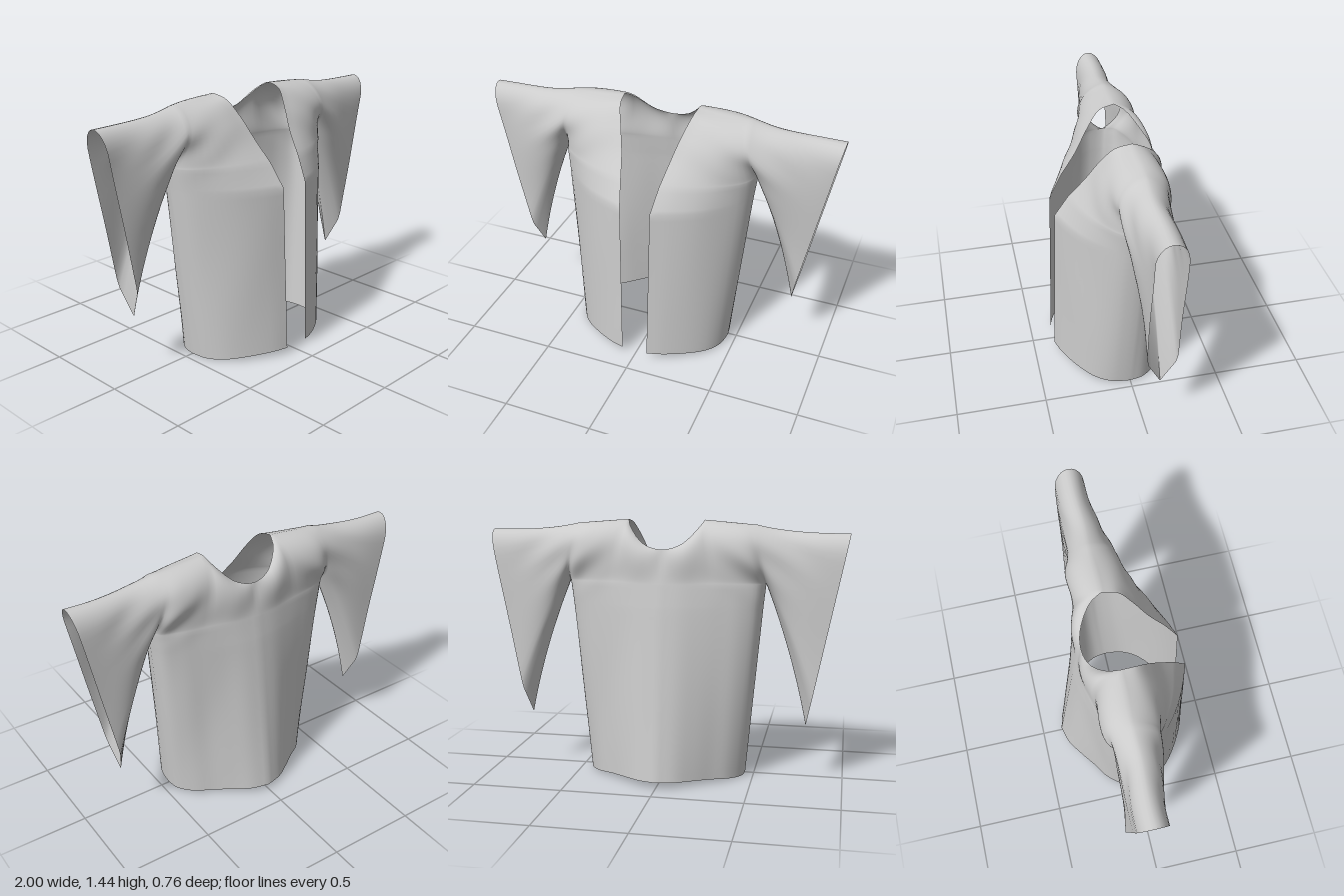
import * as THREE from 'three';
import { mergeGeometries, mergeVertices } from 'three/addons/utils/BufferGeometryUtils.js';

const V = (x, y, z) => new THREE.Vector3(x, y, z);
const lerp = THREE.MathUtils.lerp;
const curve = (pts) => new THREE.CatmullRomCurve3(pts.map((p) => V(...p)));
const FRONT = 14, BACK = 24, UP = 24;
const CHEST = .97, ARMPIT = 1.1;

// Half cross-sections of the body as [x, z]: front edge to side, side to centre back
const sections = [
  { y: 0,
    front: [[.075, .378], [.16, .35], [.285, .283], [.385, .195], [.437, .1], [.45, 0]],
    back: [[.45, 0], [.435, -.08], [.37, -.165], [.28, -.225], [.19, -.295], [.1, -.355], [0, -.382]] },
  { y: CHEST,
    front: [[.085, .345], [.19, .305], [.32, .24], [.43, .15], [.515, .05], [.54, -.04]],
    back: [[.54, -.04], [.512, -.115], [.435, -.16], [.33, -.192], [.22, -.225], [.11, -.252], [0, -.265]] },
  { y: ARMPIT,
    front: [[.108, .27], [.2, .25], [.32, .205], [.43, .14], [.525, .05], [.555, -.05]],
    back: [[.555, -.05], [.525, -.12], [.445, -.158], [.34, -.186], [.22, -.212], [.11, -.234], [0, -.244]] },
].map(({ y, front, back }) => {
  const lift = (x) => (y === 0 ? .035 * (1 - (x / .45) ** 2) : y);
  const make = (pts) => curve(pts.map(([x, z]) => [x, lift(x), z]));
  return { front: make(front), back: make(back) };
});

// Body below the armpits: straight blend between neighbouring sections
const lowerBody = (side) => (s, t) => {
  const split = .8;
  const low = t < split;
  const a = sections[low ? 0 : 1][side].getPoint(s);
  const b = sections[low ? 1 : 2][side].getPoint(s);
  return a.lerp(b, low ? t / split : (t - split) / (1 - split));
};

// Sleeve: u runs from armhole to cuff, k from the top fold to the hanging point
function sleevePoint(u, k, sign) {
  const x = lerp(lerp(.5, 1, u), lerp(.555, .79, u) + .08 * u * (1 - u), k);
  const y = lerp(1.38 + .04 * (1 - u) ** 3, lerp(ARMPIT, .32, u), k);
  const arm = (sign > 0 ? .135 : .118) * Math.max(0, Math.sin(Math.PI * k ** .8)) ** .75;
  const round = k < .12 ? Math.sqrt(1 - (1 - k / .12) ** 2) : 1;
  const cuff = .082 * round * Math.min(1, (1 - k) / .16);
  const blend = sign > 0 ? u ** 1.6 : u ** .8;
  return V(x, y, lerp(-.05, -.06 - .02 * k, u) + sign * lerp(arm, cuff, blend));
}
const topToBottom = (t) => (1 + Math.cos(Math.PI * t)) / 2;

// Neck, shoulder and front edge lines of the upper body
const lapel = curve([[.108, 1.1, .27], [.135, 1.21, .187], [.17, 1.33, .112], [.203, 1.42, .035], [.213, 1.443, -.05]]);
const neck = curve([[.213, 1.443, -.05], [.19, 1.405, -.11], [.115, 1.325, -.175], [.05, 1.297, -.2], [0, 1.29, -.205]]);
const shoulder = (s) => V(.213, 1.443, -.05).lerp(V(.5, 1.42, -.05), s);

// Surface filling four boundary curves; the side curves fade inwards at their own rates
function fill(bottom, top, start, end, startFade, endFade) {
  const [p00, p10, p01, p11] = [bottom(0), bottom(1), top(0), top(1)];
  return (s, t) => bottom(s).lerp(top(s), t)
    .addScaledVector(start(t).sub(p00.clone().lerp(p01, t)), (1 - s) ** startFade)
    .addScaledVector(end(t).sub(p10.clone().lerp(p11, t)), s ** endFade);
}

// Bend a yoke so that it leaves the chest line close to the direction of the body below
const tangentTo = (patch, side) => (s, t) => {
  const p = patch(s, t);
  const rise = patch(s, .02).sub(patch(s, 0)).divideScalar(.02);
  const slope = sections[2][side].getPoint(s).sub(sections[1][side].getPoint(s)).divideScalar(ARMPIT - CHEST);
  const weight = .5 * t * (1 - t) ** 2 * Math.sqrt(Math.max(0, Math.sin(Math.PI * s)));
  p.x += weight * (rise.y * slope.x - rise.x);
  p.z += weight * (rise.y * slope.z - rise.z);
  return p;
};

const upperFront = tangentTo(fill(
  (s) => sections[2].front.getPoint(s), shoulder,
  (t) => lapel.getPoint(t), (t) => sleevePoint(0, topToBottom(t), 1), 1, 1.6), 'front');

const seam = FRONT / BACK;
const backPatch = tangentTo(fill(
  (s) => sections[2].back.getPoint(s),
  (s) => (s <= seam ? shoulder(1 - s / seam) : neck.getPoint((s - seam) / (1 - seam))),
  (t) => sleevePoint(0, topToBottom(t), -1),
  (t) => V(0, lerp(ARMPIT, 1.29, t), lerp(-.244, -.205, t)), 1.6, 1), 'back');
// Rounded over the back of the shoulder
const upperBack = (s, t) => {
  const swell = Math.sin(Math.PI * s) * t * t * (1 - t);
  return backPatch(s, t).add(V(0, .2 * swell, -.25 * swell));
};

// Soft creases, strongest around the armpits
function crease(p) {
  const near = Math.exp(-(((p.x - .56) / .2) ** 2) - ((p.y - 1.22) / .13) ** 2);
  p.z += .008 * near * Math.sin(26 * p.x + 30 * p.y);
  p.z += .003 * Math.sin(17 * p.x + 2 * p.y) * Math.sin(5 * p.y + 1) * Math.min(1, p.x * 4);
  return p;
}

// Grid of quads over a surface, mirrored for the right half
function grid(fn, nu, nv, mirror) {
  const pos = [], index = [];
  for (let j = 0; j <= nv; j++) {
    for (let i = 0; i <= nu; i++) {
      const p = crease(fn(i / nu, j / nv));
      pos.push(p.x * mirror, p.y, p.z);
      if (i === nu || j === nv) continue;
      const a = j * (nu + 1) + i, b = a + 1, d = a + nu + 1, c = d + 1;
      index.push(...(mirror > 0 ? [a, b, c, a, c, d] : [a, c, b, a, d, c]));
    }
  }
  const g = new THREE.BufferGeometry();
  g.setAttribute('position', new THREE.Float32BufferAttribute(pos, 3));
  g.setIndex(index);
  return g;
}

export function createModel() {
  const group = new THREE.Group();
  group.name = 'openRobe';
  const material = new THREE.MeshStandardMaterial({ color: 0xcccccc, side: THREE.DoubleSide });

  const pieces = [];
  for (const [label, m] of [['left', 1], ['right', -1]]) {
    const add = (name, fn, nu, nv) => pieces.push({ name: label + name, geo: grid(fn, nu, nv, m) });
    add('FrontPanel', lowerBody('front'), FRONT, 30);
    add('BackPanel', lowerBody('back'), BACK, 30);
    add('FrontYoke', upperFront, FRONT, UP);
    add('BackYoke', upperBack, BACK, UP);
    add('SleeveFront', (s, t) => sleevePoint(s, topToBottom(t), 1), 28, UP);
    add('SleeveBack', (s, t) => sleevePoint(1 - s, topToBottom(t), -1), 28, UP);
  }

  // Shared vertices give smooth normals across the seams
  const cloth = mergeVertices(mergeGeometries(pieces.map((p) => p.geo)), 1e-4);
  cloth.computeVertexNormals();
  const all = Array.from(cloth.index.array);
  let offset = 0;
  for (const { name, geo } of pieces) {
    const count = geo.index.count;
    const part = new THREE.BufferGeometry();
    part.setAttribute('position', cloth.attributes.position);
    part.setAttribute('normal', cloth.attributes.normal);
    part.setIndex(all.slice(offset, offset + count));
    offset += count;
    const mesh = new THREE.Mesh(part, material);
    mesh.name = name;
    group.add(mesh);
  }
  return group;
}
